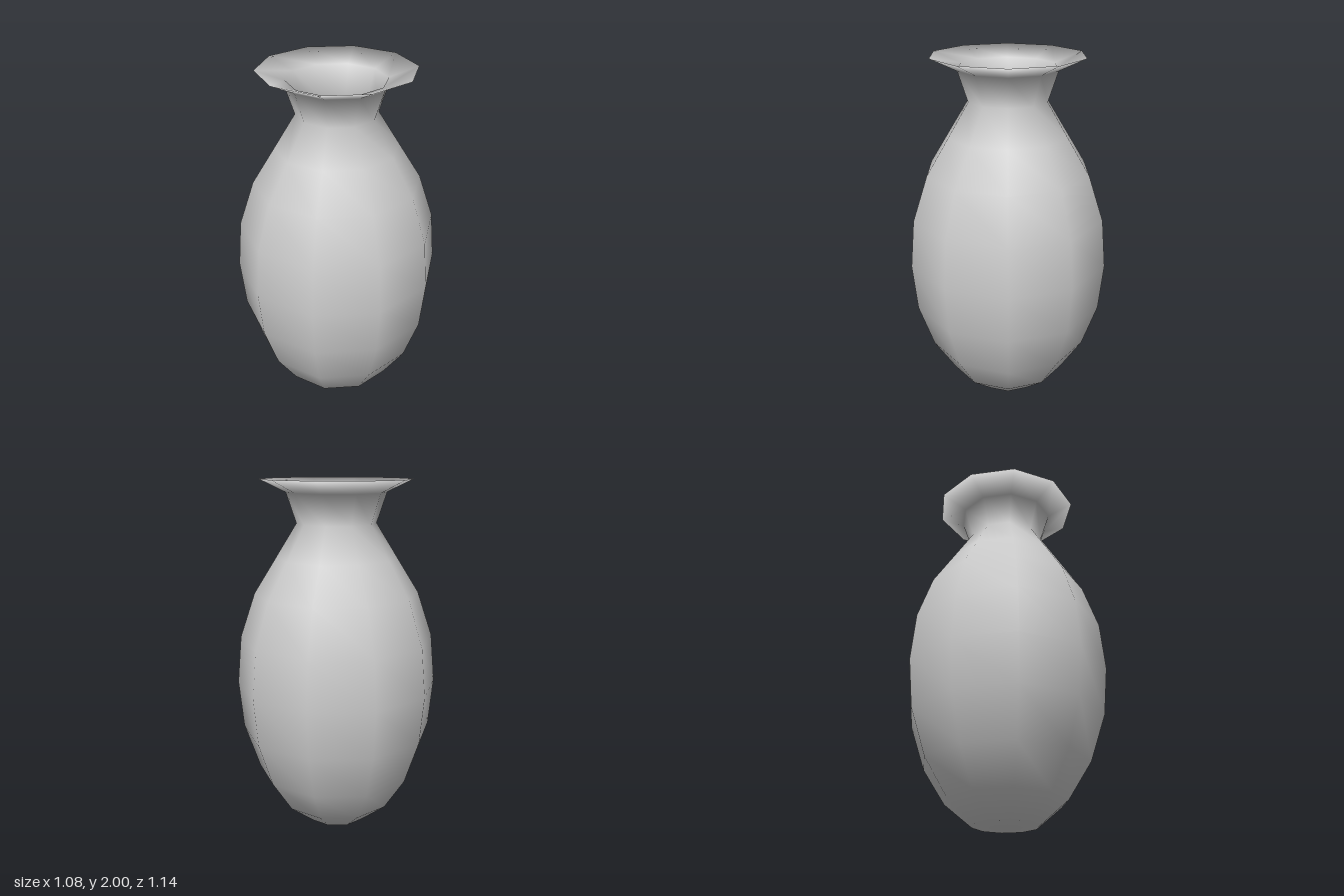
import * as THREE from 'three';

const SIDES = 10;

export function createModel() {
  const group = new THREE.Group();
  group.name = 'vase';
  const clay = new THREE.MeshStandardMaterial({ color: 0xcccccc });
  clay.name = 'light grey clay';

  // Outer wall, as [radius, height] from the foot up to the rim
  const outer = [
    [0, 0], [0.18, 0.012], [0.335, 0.14], [0.46, 0.335], [0.545, 0.59], [0.57, 0.86],
    [0.545, 1.13], [0.46, 1.38], [0.335, 1.58], [0.22, 1.765], [0.275, 1.93], [0.42, 2],
  ];

  // Inner wall, from the rim down the neck to the hollow's floor
  const inner = [
    [0.265, 1.945], [0.207, 1.765], [0.32, 1.575], [0.443, 1.375], [0.528, 1.13], [0.553, 0.86],
    [0.528, 0.59], [0.443, 0.345], [0.32, 0.155], [0.175, 0.03], [0, 0.018],
  ];

  // One turned shell, shaded smoothly over the rim
  const profile = [...outer, ...inner].map(([r, y]) => new THREE.Vector2(r, y));
  const shell = new THREE.Mesh(new THREE.LatheGeometry(profile, SIDES), clay);
  shell.name = 'vaseShell';
  group.add(shell);
  return group;
}
